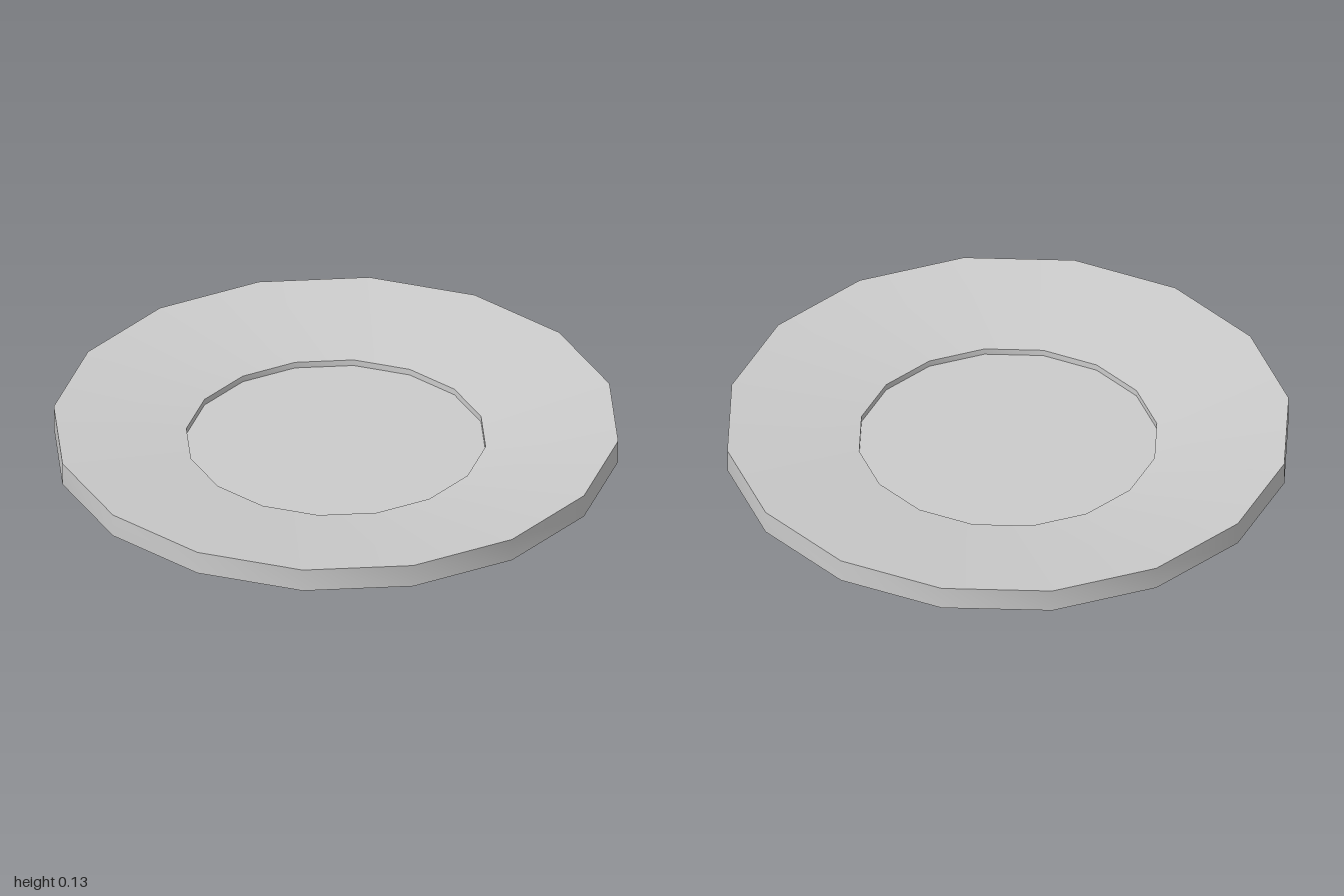
import * as THREE from 'three';
import { toCreasedNormals } from 'three/addons/utils/BufferGeometryUtils.js';

export function createModel() {
  const group = new THREE.Group();
  group.name = 'dish';

  // Closed cross-section [radius, height], from underside centre round to well centre
  const profile = [
    [0, 0], [0.53, 0],          // foot
    [1, 0.045], [1, 0.13],      // sloping underside, outer edge
    [0.53, 0.073],              // rim sloping inwards
    [0.53, 0.05], [0, 0.05],    // step down, well floor
  ].map(([r, y]) => new THREE.Vector2(r, y));

  // Sixteen sides, shaded smooth around but sharp at the rim and step
  const geometry = toCreasedNormals(new THREE.LatheGeometry(profile, 16), 0.5);
  const plate = new THREE.Mesh(geometry, new THREE.MeshStandardMaterial({ color: 0xcccccc }));
  plate.name = 'plate';
  group.add(plate);

  return group;
}
